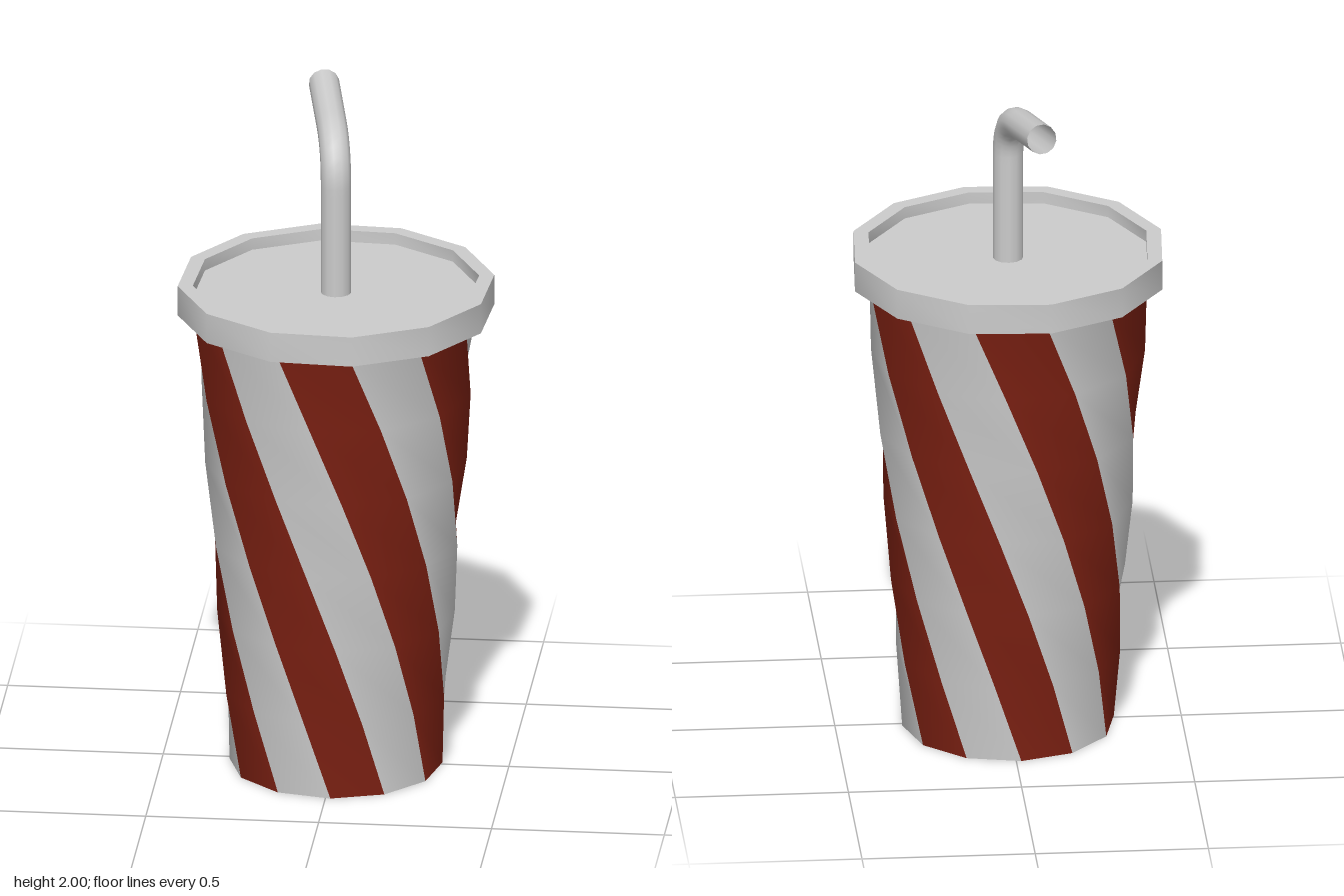
import * as THREE from 'three';
import { toCreasedNormals } from 'three/addons/utils/BufferGeometryUtils.js';

const SIDES = 12, ROWS = 6;
const CUP_HEIGHT = 1.39, BOTTOM_RADIUS = 0.307, TOP_RADIUS = 0.412;
const rad = THREE.MathUtils.degToRad;
const BOTTOM_ANGLE = rad(57.3), TWIST = rad(81.3);
const LID_ANGLE = rad(11.4);

const grey = () => new THREE.MeshStandardMaterial({ color: 0xcccccc });

function addMesh(parent, name, geometry, material) {
  const mesh = new THREE.Mesh(geometry, material);
  mesh.name = name;
  parent.add(mesh);
  return mesh;
}

// Tapered twelve-sided wall, twisted as it rises; alternate columns are coloured
function createCup() {
  const cup = new THREE.Group();
  cup.name = 'cup';
  const positions = [], red = [], white = [];
  for (let j = 0; j <= ROWS; j++) {
    const t = j / ROWS;
    const r = THREE.MathUtils.lerp(BOTTOM_RADIUS, TOP_RADIUS, t);
    for (let i = 0; i < SIDES; i++) {
      const a = BOTTOM_ANGLE + TWIST * t + (i / SIDES) * Math.PI * 2;
      positions.push(r * Math.cos(a), CUP_HEIGHT * t, r * Math.sin(a));
    }
  }
  for (let j = 0; j < ROWS; j++) {
    for (let i = 0; i < SIDES; i++) {
      const a = j * SIDES + i, b = j * SIDES + (i + 1) % SIDES;
      const c = a + SIDES, d = b + SIDES;
      (i % 2 ? white : red).push(a, c, d, a, d, b);
    }
  }
  const wall = new THREE.BufferGeometry();
  wall.setAttribute('position', new THREE.Float32BufferAttribute(positions, 3));
  wall.setIndex([...red, ...white]);
  wall.computeVertexNormals();

  // Both sets of stripes share the wall's smooth normals
  const stripes = (index) => wall.clone().setIndex(index);
  addMesh(cup, 'redStripes', stripes(red), new THREE.MeshStandardMaterial({ color: 0x7b2012 }));
  addMesh(cup, 'paleStripes', stripes(white), grey());

  const base = new THREE.CircleGeometry(BOTTOM_RADIUS, SIDES, BOTTOM_ANGLE);
  base.rotateX(Math.PI / 2);
  addMesh(cup, 'cupBase', base, grey());
  return cup;
}

// Lid with a raised rim around a sunken top
function createLid(parent) {
  const profile = [
    [0.39, 1.39], [0.458, 1.39], [0.458, 1.48],
    [0.414, 1.48], [0.414, 1.445], [0, 1.445],
  ].map(([r, y]) => new THREE.Vector2(r, y));
  const geometry = new THREE.LatheGeometry(profile, SIDES, LID_ANGLE);
  addMesh(parent, 'lid', toCreasedNormals(geometry, Math.PI / 4), grey());
}

// Open drinking straw, upright and then bent to the back
function createStraw(parent) {
  const lean = 0.2;
  const point = (y, back) => new THREE.Vector3(-back * lean, y, -back);
  const path = new THREE.CurvePath();
  path.add(new THREE.LineCurve3(point(1.43, 0), point(1.77, 0)));
  path.add(new THREE.QuadraticBezierCurve3(point(1.77, 0), point(1.89, 0), point(1.913, 0.13)));
  path.add(new THREE.LineCurve3(point(1.913, 0.13), point(1.955, 0.35)));
  const material = grey();
  material.side = THREE.DoubleSide;
  addMesh(parent, 'straw', new THREE.TubeGeometry(path, 32, 0.044, 12, false), material);
}

export function createModel() {
  const model = new THREE.Group();
  model.name = 'drinkCup';
  model.add(createCup());
  createLid(model);
  createStraw(model);
  return model;
}
